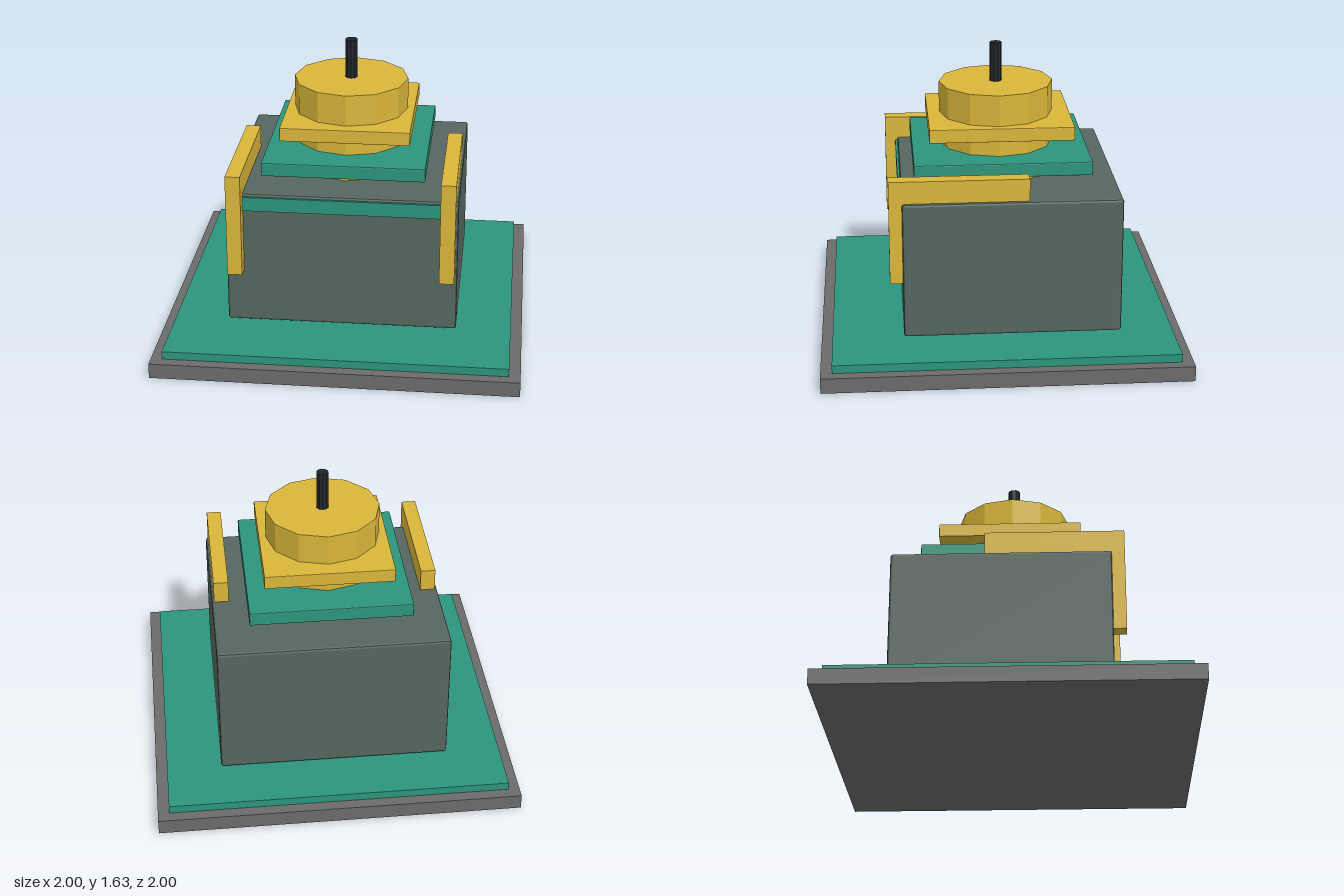
import * as THREE from 'three';
import { RoundedBoxGeometry } from 'three/addons/geometries/RoundedBoxGeometry.js';

export function createModel() {
  const root = new THREE.Group();
  const material = (color) => new THREE.MeshStandardMaterial({ color, flatShading: true });
  const grey = material(0x6b6b6b);
  const green = material(0x2c957b);
  const slate = material(0x56665f);
  const yellow = material(0xd9b63a);
  const black = material(0x20262a);

  const add = (name, geometry, mat, x = 0, y = 0, z = 0) => {
    const mesh = new THREE.Mesh(geometry, mat);
    mesh.name = name;
    mesh.position.set(x, y, z);
    root.add(mesh);
    return mesh;
  };

  // Box given by half width, bottom/top and back/front; optional bevel
  const block = (name, mat, halfX, y0, y1, z0, z1, bevel = 0) => {
    const size = [halfX * 2, y1 - y0, z1 - z0];
    const geometry = bevel
      ? new RoundedBoxGeometry(...size, 1, bevel)
      : new THREE.BoxGeometry(...size);
    return add(name, geometry, mat, 0, (y0 + y1) / 2, (z0 + z1) / 2);
  };

  // Upright cylinder from y0 to y1
  const column = (name, mat, radius, y0, y1, sides) =>
    add(name, new THREE.CylinderGeometry(radius, radius, y1 - y0, sides), mat, 0, (y0 + y1) / 2, 0);

  // Stepped base
  block('basePlate', grey, 1, 0, 0.085, -1, 1);
  block('baseInlay', green, 0.938, 0.085, 0.13, -0.938, 0.938);

  // Main body with the trim strip along its upper front edge
  block('body', slate, 0.636, 0.143, 0.912, -0.648, 0.547, 0.014);
  block('frontTrim', green, 0.54, 0.815, 0.895, 0.5, 0.56);

  // Tiered top: drum, two square collars and a rod
  column('drum', yellow, 0.318, 0.9, 1.41, 12);
  block('lowerCollar', green, 0.447, 0.988, 1.065, -0.5, 0.475, 0.006);
  block('upperCollar', yellow, 0.356, 1.16, 1.236, -0.41, 0.385, 0.004);
  column('rod', black, 0.034, 1.4, 1.63, 10);

  // L-shaped straps over the front edge, drawn in the (z, y) plane
  const profile = new THREE.Shape([
    [-0.14, 0.91], [0.545, 0.91], [0.545, 0.455], [0.618, 0.455], [0.618, 1.037], [-0.14, 1.037],
  ].map(([z, y]) => new THREE.Vector2(-z, y)));
  const strap = new THREE.ExtrudeGeometry(profile, { depth: 0.082, bevelEnabled: false });
  strap.translate(0, 0, -0.041).rotateY(Math.PI / 2);
  add('leftStrap', strap, yellow, 0.581);
  add('rightStrap', strap, yellow, -0.581);

  return root;
}
